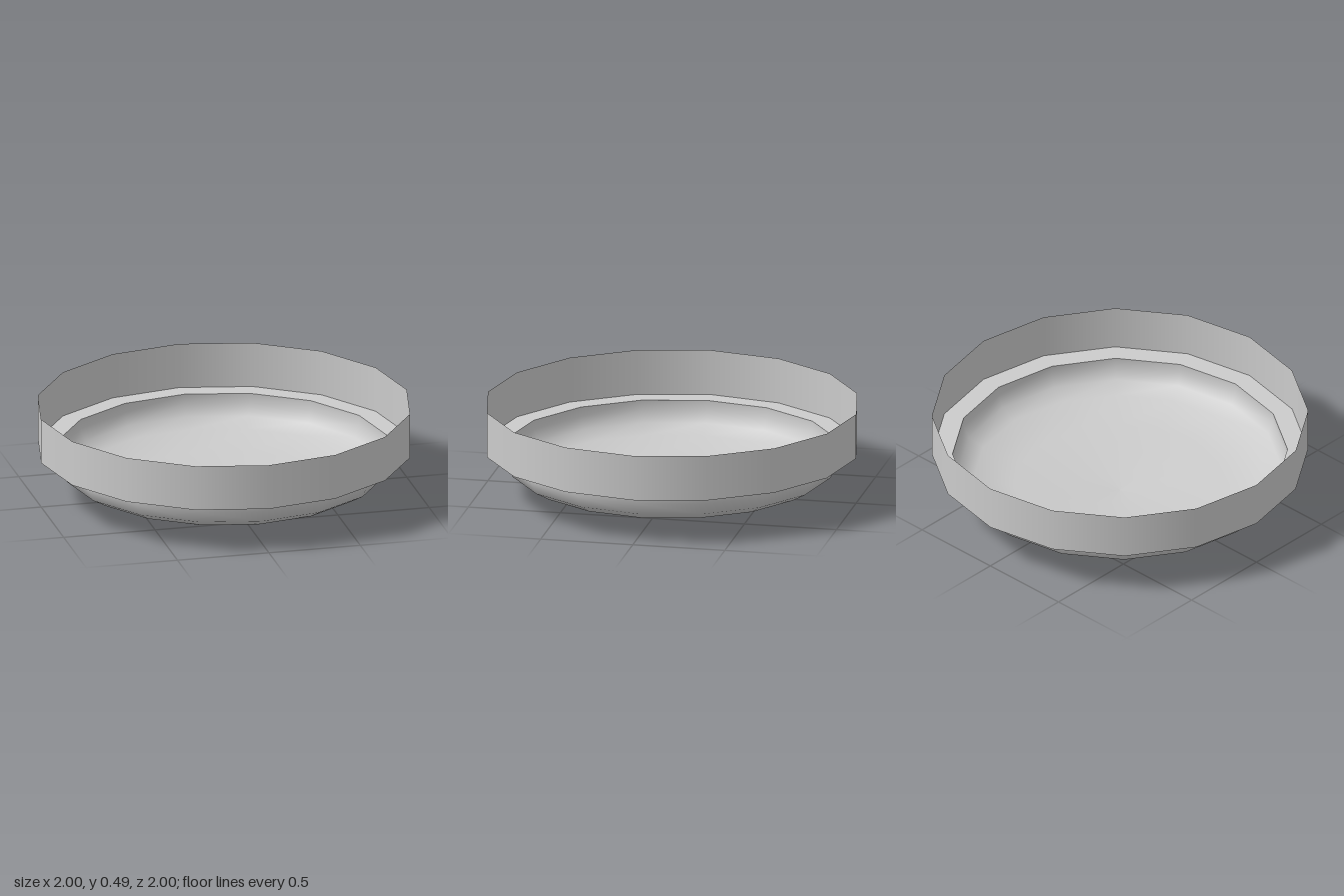
import * as THREE from 'three';

const SIDES = 16;

export function createModel() {
  const group = new THREE.Group();
  // thin open shell, visible from inside and outside
  const material = new THREE.MeshStandardMaterial({ color: 0xcccccc, side: THREE.DoubleSide });

  // separate lathes keep the edges between the parts sharp
  const addLathe = (name, profile) => {
    const points = profile.map(([r, y]) => new THREE.Vector2(r, y));
    const mesh = new THREE.Mesh(new THREE.LatheGeometry(points, SIDES), material);
    mesh.name = name;
    group.add(mesh);
  };

  // shallow rounded bowl
  addLathe('bowl', [
    [0, 0], [0.57, 0.033], [0.78, 0.085], [0.86, 0.13], [0.89, 0.195], [0.89, 0.247],
  ]);
  // flat step between bowl and rim
  addLathe('ledge', [[0.89, 0.247], [1, 0.247]]);
  // upright outer wall
  addLathe('rim', [[1, 0.247], [1, 0.493]]);

  return group;
}
